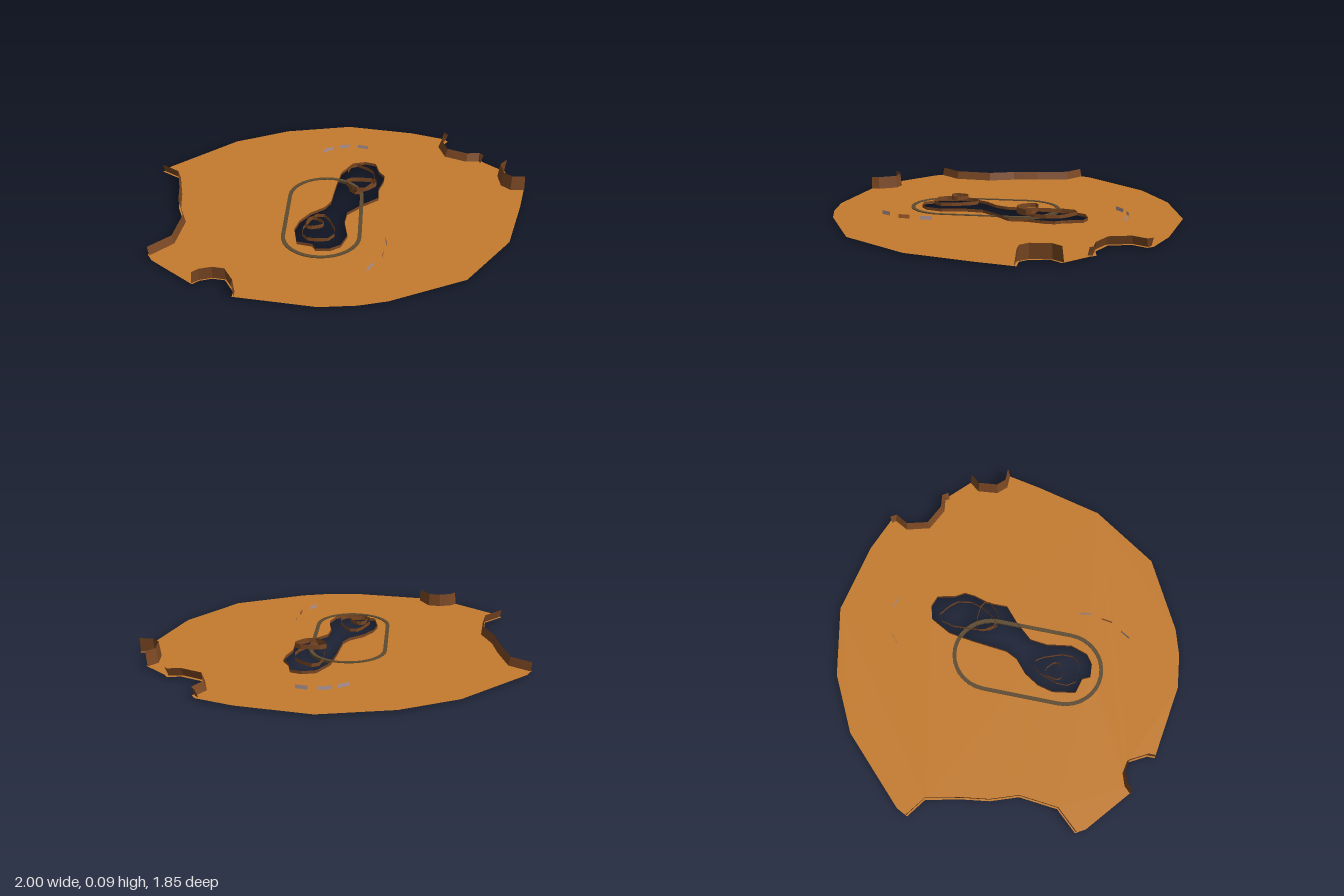
import * as THREE from 'three';

const GROUND_Y = 0.01;

const paint = (name, color) => {
  const m = new THREE.MeshStandardMaterial({ color, side: THREE.DoubleSide, flatShading: true });
  m.name = name;
  return m;
};

// Flat outlines are written as [x, z]
const vec = ([x, z]) => new THREE.Vector2(x, -z);

// Upright sheet along a line, its foot moved to the inner side by lean
function wall(points, y0, y1, lean, closed) {
  const pos = [], index = [], n = points.length;
  points.forEach(([x, z], i) => {
    const a = points[closed ? (i + n - 1) % n : Math.max(i - 1, 0)];
    const b = points[closed ? (i + 1) % n : Math.min(i + 1, n - 1)];
    const dx = b[0] - a[0], dz = b[1] - a[1], l = Math.hypot(dx, dz) || 1;
    pos.push(x - dz / l * lean, y0, z + dx / l * lean, x, y1, z);
  });
  for (let i = 0; i < (closed ? n : n - 1); i++) {
    const a = 2 * i, b = 2 * ((i + 1) % n);
    index.push(a, b, a + 1, b, b + 1, a + 1);
  }
  const g = new THREE.BufferGeometry();
  g.setAttribute('position', new THREE.Float32BufferAttribute(pos, 3));
  g.setIndex(index);
  g.computeVertexNormals();
  return g;
}

// Uneven closed contour
function contour(cx, cz, rx, rz, n, phase) {
  return Array.from({ length: n }, (_, i) => {
    const t = i / n * Math.PI * 2, r = 1 + 0.13 * Math.sin(3 * t + phase);
    return [cx + rx * r * Math.cos(t), cz + rz * r * Math.sin(t)];
  });
}

// Stadium outline centred on (cx, cz)
function stadium(cx, cz, r, half) {
  return Array.from({ length: 34 }, (_, i) => {
    const t = Math.PI * (i % 17) / 16 + (i < 17 ? 0 : Math.PI);
    return vec([cx + r * Math.cos(t), cz + (i < 17 ? half : -half) + r * Math.sin(t)]);
  });
}

export function createModel() {
  const group = new THREE.Group();
  const earth = paint('earth', 0xc47b2e);
  const cliff = paint('cliff brown', 0x7a4722);
  const track = paint('track', 0x5c4a30);
  const grey = paint('barrier grey', 0xb09494);
  const rust = paint('barrier rust', 0xa8602c);
  const add = (name, geometry, material) => {
    const m = new THREE.Mesh(geometry, material);
    m.name = name;
    group.add(m);
    return m;
  };

  // Rim pieces, clockwise from the back
  const notchBackLeft = [[0.59, -0.79], [0.61, -0.76], [0.57, -0.69], [0.6, -0.58], [0.71, -0.53], [0.78, -0.54], [0.8, -0.51]];
  const notchLeft = [[0.92, -0.4], [0.88, -0.35], [0.89, -0.25], [0.93, -0.21], [1, -0.21]];
  const notchFront = [[-0.45, 0.86], [-0.45, 0.82], [-0.5, 0.73], [-0.56, 0.72], [-0.62, 0.74], [-0.65, 0.77]];
  const bayRight = [[-0.91, 0.53], [-0.81, 0.42], [-0.79, 0.22], [-0.84, 0.08], [-0.86, -0.06], [-0.9, -0.24], [-1, -0.31]];
  const rim = [
    [0.02, -0.93], [0.4, -0.86], ...notchBackLeft, ...notchLeft,
    [0.96, -0.02], [0.87, 0.33], [0.64, 0.67], [0.27, 0.86], [0.13, 0.9], [-0.05, 0.92],
    ...notchFront, [-0.88, 0.58], ...bayRight, [-0.97, -0.37], [-0.64, -0.7], [-0.35, -0.85],
  ];

  // Opening in the middle
  const opening = [
    [0.13, -0.45], [0.19, -0.43], [0.21, -0.34], [0.24, -0.29], [0.235, -0.235], [0.21, -0.15],
    [0.21, -0.05], [0.13, 0.02], [0.05, 0.11], [0.04, 0.2], [0.06, 0.33], [0.03, 0.42],
    [-0.02, 0.455], [-0.09, 0.46], [-0.11, 0.42], [-0.19, 0.4], [-0.21, 0.28], [-0.19, 0.2],
    [-0.14, 0.12], [-0.07, 0.06], [-0.04, 0], [-0.02, -0.19], [0, -0.32], [0.06, -0.43],
  ];

  // Ground sheet
  const land = new THREE.Shape(rim.map(vec));
  land.holes.push(new THREE.Path(opening.map(vec)));
  add('ground', new THREE.ShapeGeometry(land).rotateX(-Math.PI / 2).translate(0, GROUND_Y, 0), earth);

  // Cliffs standing in the rim notches
  add('backLeftCliff', wall(notchBackLeft, GROUND_Y, 0.055, 0.018, false), cliff);
  add('leftCliff', wall(notchLeft, GROUND_Y, 0.088, 0.012, false), cliff);
  add('frontCliff', wall(notchFront, GROUND_Y, 0.078, 0.008, false), cliff);
  add('rightCliff', wall(bayRight, GROUND_Y, 0.055, 0.012, false), cliff);

  // Terraced walls around and inside the opening
  add('openingWall', wall(opening, GROUND_Y, 0.026, 0, true), cliff);
  [
    [-0.085, 0.29, 0.08, 0.12, 0.026, 0.045],
    [-0.11, 0.27, 0.045, 0.045, 0.045, 0.066],
    [0.105, -0.24, 0.075, 0.15, 0.026, 0.045],
    [0.115, -0.14, 0.08, 0.055, 0.045, 0.07],
  ].forEach(([cx, cz, rx, rz, y0, y1], i) =>
    add('terrace' + (i + 1), wall(contour(cx, cz, rx, rz, 14, i), y0, y1, 0, true), cliff));

  // Oval track
  const oval = new THREE.Shape(stadium(-0.072, 0.12, 0.203, 0.2));
  oval.holes.push(new THREE.Path(stadium(-0.072, 0.12, 0.183, 0.2)));
  add('track', new THREE.ExtrudeGeometry(oval, { depth: 0.014, bevelEnabled: false }).rotateX(-Math.PI / 2), track);

  // Small barriers outside the bends: x, z, direction x, direction z
  [
    [-0.09, -0.6, 0.053, -0.04], [0, -0.645, 0.06, -0.015], [0.11, -0.643, 0.06, 0.015],
    [0.18, 0.6, 0.03, -0.05], [0.24, 0.49, 0.008, -0.06], [0.255, 0.37, -0.008, -0.06],
  ].forEach(([x, z, dx, dz], i) => {
    const ends = [[x - dx / 2, z - dz / 2], [x + dx / 2, z + dz / 2]];
    add('barrier' + (i + 1), wall(ends, 0.012, 0.032, 0, false), i === 4 ? rust : grey);
  });

  return group;
}
